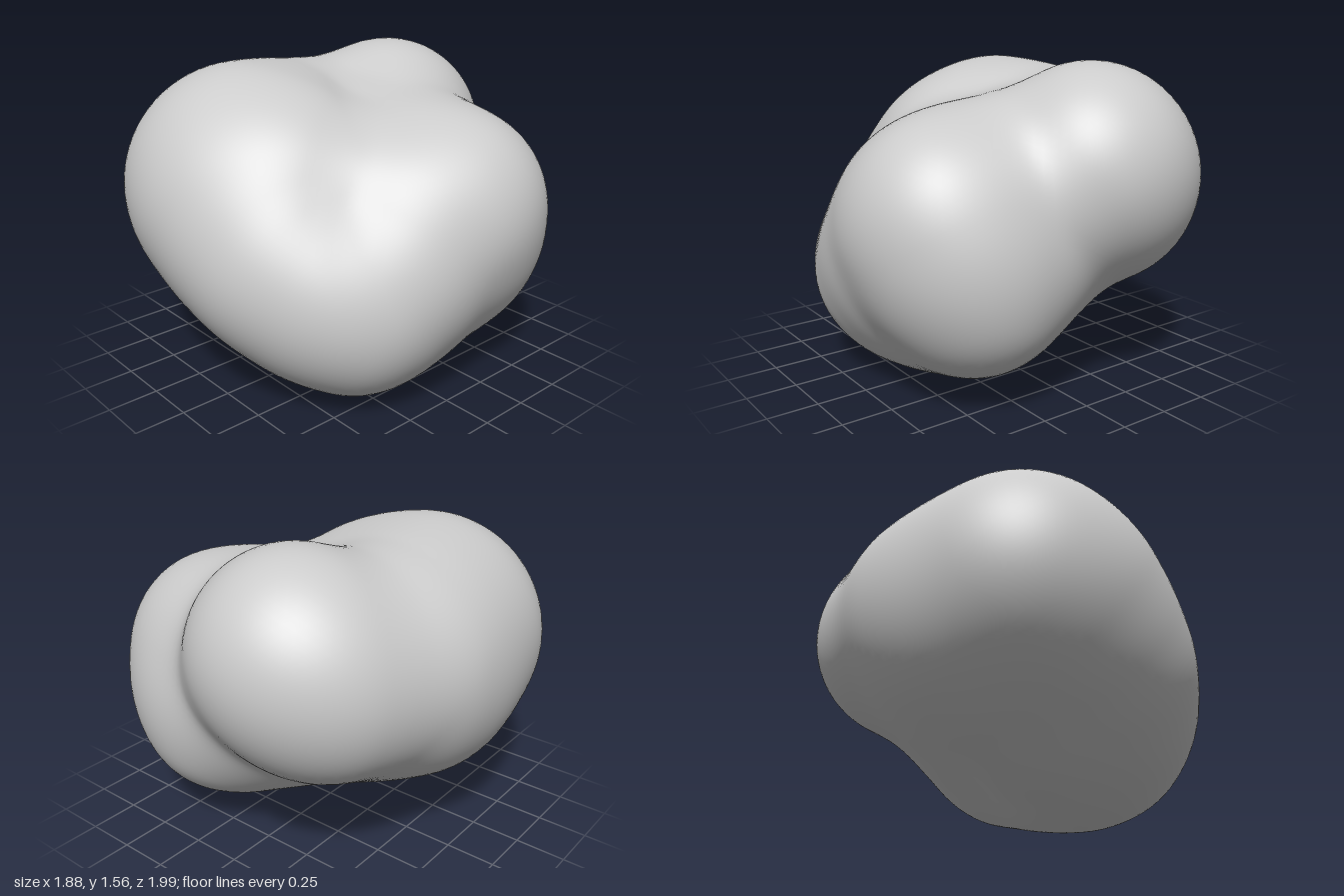
import * as THREE from 'three';
import { mergeVertices } from 'three/addons/utils/BufferGeometryUtils.js';

// Lobes of the boulder: x, y, z, radius
const lobes = {
  front: [-0.3, 0.93, 0.37, 0.605],
  frontMid: [-0.1, 0.85, 0.49, 0.47],
  frontInner: [-0.02, 0.95, 0.28, 0.48],
  frontLow: [0.09, 0.68, 0.5, 0.435],
  back: [-0.2, 1.07, -0.5, 0.495],
  backLeft: [-0.33, 0.95, -0.4, 0.47],
  backValley: [0.12, 0.85, -0.4, 0.4],
  waist: [-0.39, 0.94, 0, 0.54],
  waistLow: [-0.38, 0.77, 0.14, 0.47],
  saddle: [0.14, 0.95, -0.24, 0.45],
  shoulder: [0.3, 0.86, 0.03, 0.43],
  side: [0.47, 0.9, -0.27, 0.45],
  sideLow: [0.35, 0.56, -0.4, 0.395],
  foot: [0.31, 0.415, 0.2, 0.4],
  footOuter: [0.42, 0.48, 0.27, 0.38],
};

// Pairs whose gap is filled with in-between spheres
const links = [
  ['front', 'foot'], ['frontLow', 'footOuter'], ['sideLow', 'foot'],
  ['side', 'footOuter'], ['side', 'sideLow'], ['waistLow', 'foot'], ['waist', 'sideLow'],
];

const spheres = Object.values(lobes);
for (const [a, b] of links) {
  for (const t of [0.33, 0.67]) {
    spheres.push(lobes[a].map((v, i) => v + (lobes[b][i] - v) * t));
  }
}

// Smoothly blended distance to all spheres
function distance(p, k = 0.16) {
  let d = 10;
  for (const [x, y, z, r] of spheres) {
    const e = Math.hypot(p.x - x, p.y - y, p.z - z) - r;
    const h = Math.max(k - Math.abs(d - e), 0) / k;
    d = Math.min(d, e) - h * h * k * 0.25;
  }
  return d;
}

// Shrink-wrap a sphere on to the blended lobes
function boulderGeometry() {
  let geo = new THREE.IcosahedronGeometry(1, 24);
  geo.deleteAttribute('uv');
  geo.deleteAttribute('normal');
  geo = mergeVertices(geo, 1e-4);
  const pos = geo.attributes.position;
  const centre = new THREE.Vector3(0, 0.8, 0);
  const dir = new THREE.Vector3();
  const p = new THREE.Vector3();
  for (let i = 0; i < pos.count; i++) {
    dir.fromBufferAttribute(pos, i).normalize();
    let t = 2;
    for (let s = 0; s < 80; s++) {
      const d = distance(p.copy(centre).addScaledVector(dir, t));
      t -= d;
      if (d < 0.0005) break;
    }
    p.copy(centre).addScaledVector(dir, t);
    pos.setXYZ(i, p.x, p.y, p.z);
  }
  geo.computeVertexNormals();
  return geo;
}

export function createModel() {
  const group = new THREE.Group();
  group.name = 'lumpyBoulder';
  const boulder = new THREE.Mesh(
    boulderGeometry(),
    new THREE.MeshStandardMaterial({ color: 0xcccccc }),
  );
  boulder.name = 'boulder';
  group.add(boulder);
  return group;
}
